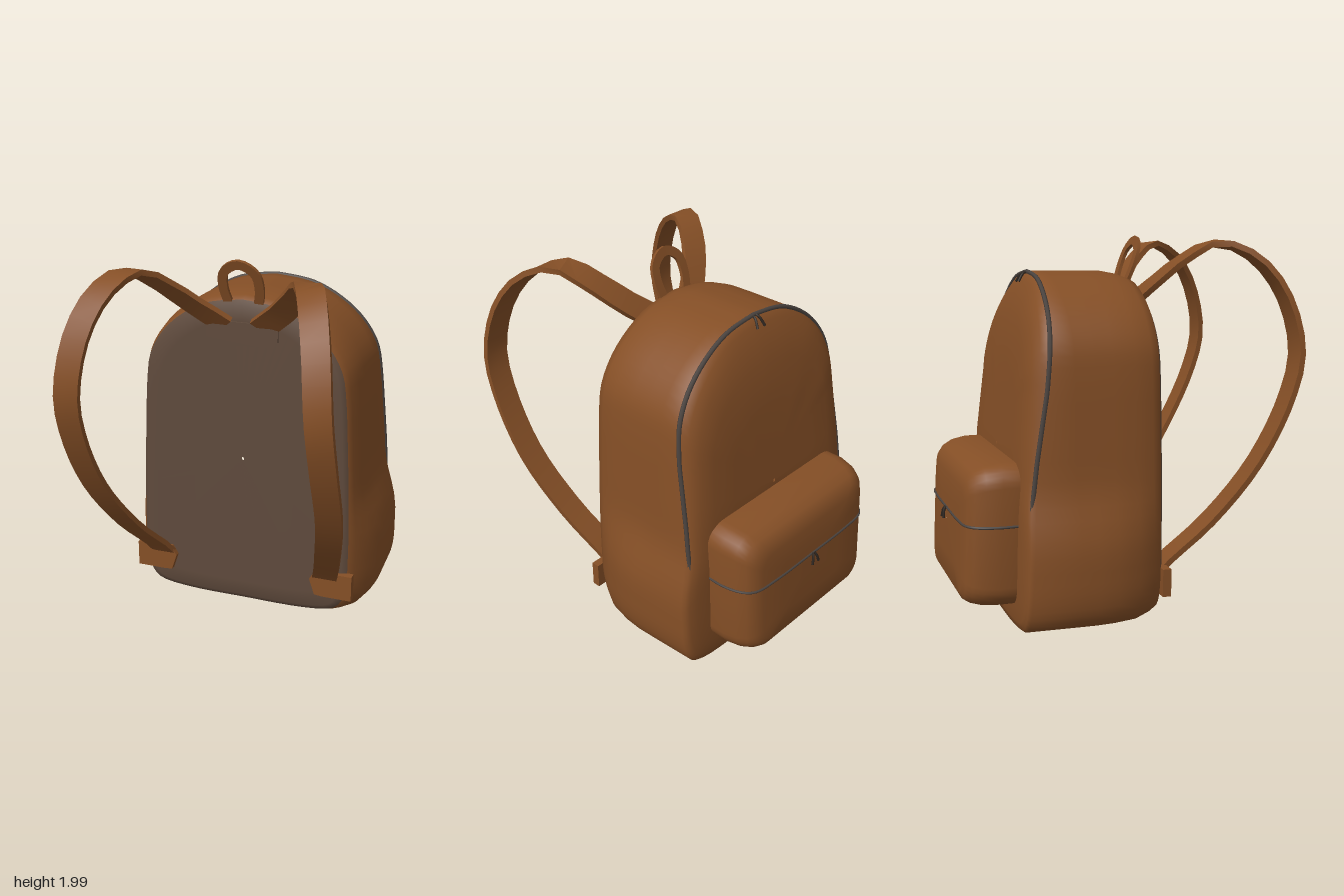
import * as THREE from 'three';
import { toCreasedNormals } from 'three/addons/utils/BufferGeometryUtils.js';

const V = (x, y, z) => new THREE.Vector3(x, y, z);
const flat = (name, color) => Object.assign(new THREE.MeshStandardMaterial({ color }), { name });

// Linear interpolation in a table of [key, value] pairs with rising keys
function table(t, k) {
  if (k <= t[0][0]) return t[0][1];
  for (let i = 1; i < t.length; i++) {
    if (k <= t[i][0]) {
      const [a, b] = [t[i - 1], t[i]];
      return a[1] + (b[1] - a[1]) * (k - a[0]) / (b[0] - a[0]);
    }
  }
  return t[t.length - 1][1];
}

// Skin a list of closed rings; pick(centre) chooses the material group
function loft(rings, crease, pick = () => 0) {
  const n = rings[0].length, pos = rings.flat(), lists = [];
  for (let i = 0; i < rings.length - 1; i++) {
    for (let j = 0; j < n; j++) {
      const a = i * n + j, b = i * n + (j + 1) % n, c = a + n, d = b + n;
      const mid = V(0, 0, 0).add(pos[a]).add(pos[b]).add(pos[c]).add(pos[d]).multiplyScalar(0.25);
      (lists[pick(mid)] ??= []).push(a, c, b, b, c, d);
    }
  }
  const g = new THREE.BufferGeometry().setFromPoints(pos);
  g.setIndex(lists.flat());
  let start = 0;
  lists.forEach((l, m) => { g.addGroup(start, l.length, m); start += l.length; });
  return toCreasedNormals(g, crease);
}

// Flat band along a path; across(tangent) gives its width direction
function band(points, width, thick, across, steps = 28) {
  const curve = new THREE.CatmullRomCurve3(points);
  const rings = [];
  const ring = (u, s) => {
    const p = curve.getPointAt(u), t = curve.getTangentAt(u);
    const w = across(t).normalize(), n = w.clone().cross(t);
    return [[1, -1], [1, 1], [-1, 1], [-1, -1]].map(([a, b]) => p.clone()
      .addScaledVector(w, a * s * width / 2).addScaledVector(n, b * s * thick / 2));
  };
  rings.push(ring(0, 0.01));
  for (let i = 0; i <= steps; i++) rings.push(ring(i / steps, 1));
  rings.push(ring(1, 0.01));
  return loft(rings, 0.7);
}

const tube = (pts, r, steps) =>
  new THREE.TubeGeometry(new THREE.CatmullRomCurve3(pts), steps, r, 6);

// Thin plate with a chamfered outline
function plate(pts, depth) {
  const s = new THREE.Shape(pts.map(p => new THREE.Vector2(...p)));
  return new THREE.ExtrudeGeometry(s, { depth, bevelEnabled: false });
}

// Body outline, bottom centre to top centre on the +x side
const half = new THREE.SplineCurve([
  [0, 0.008], [0.3, 0.008], [0.52, 0.03], [0.6, 0.09], [0.63, 0.2], [0.635, 0.35], [0.635, 0.6],
  [0.63, 0.8], [0.615, 1.1], [0.602, 1.3], [0.575, 1.46], [0.49, 1.6], [0.36, 1.71], [0.2, 1.785], [0, 1.812],
].map(p => new THREE.Vector2(...p))).getPoints(42);
const outline = [...half, ...half.slice(1, -1).reverse().map(p => new THREE.Vector2(-p.x, p.y))];

const rearEdge = y => table([[0, -0.595], [0.6, -0.56], [0.9, -0.52], [1.25, -0.46], [1.6, -0.42], [1.8, -0.4]], y);
const rearBulge = y => table([[0, 0.02], [0.6, 0.035], [0.9, 0.06], [1.3, 0.09], [1.6, 0.08], [1.8, 0.04]], y);
const sideBulge = y => 0.078 * (1 - THREE.MathUtils.smoothstep(y, 0.42, 0.8));

function bodyGeometry() {
  const ring = (inset, bulge, zOf, s = 1) => outline.map(p => {
    const x = (p.x * (1 - inset / 0.63) + Math.sign(p.x) * sideBulge(p.y) * bulge * Math.min(1, Math.abs(p.x) / 0.6)) * s;
    const y = 0.9 + (p.y - 0.9) * (1 - inset / 0.9) * s;
    return V(x, y, zOf(y));
  });
  const rings = [];
  // back panel, rounded edge and side wall
  for (const s of [0.01, 0.5, 0.9, 1]) rings.push(ring(0.06, 0, () => 0.15, s));
  for (const [inset, bulge, z] of [[0.035, 0.05, 0.135], [0.018, 0.2, 0.09], [0.002, 0.6, 0],
    [0, 0.9, -0.12], [0, 1, -0.22], [0, 0.95, -0.32]]) rings.push(ring(inset, bulge, () => z));
  rings.push(ring(0, 0.8, y => rearEdge(y) + 0.015));
  // domed far face
  for (const [s, k] of [[0.985, 0.15], [0.95, 0.5], [0.88, 0.8], [0.75, 1], [0.5, 1], [0.25, 1], [0.01, 1]])
    rings.push(ring(0, 0.8, y => rearEdge(y) - k * rearBulge(y), s));
  return loft(rings, 1.1, c => (c.z > 0.138 || (c.y < 0.035 && c.z > -0.57) ? 1 : 0));
}

function pocketGeometry() {
  const pts = [], hw = 0.525, hh = 0.365, r = 0.11;
  for (const [sx, sy, a0] of [[1, -1, -0.5], [1, 1, 0], [-1, 1, 0.5], [-1, -1, 1]]) {
    for (let i = 0; i <= 6; i++) {
      const a = (a0 + i / 12) * Math.PI;
      pts.push([sx * (hw - r) + r * Math.cos(a), sy * (hh - r) + r * Math.sin(a)]);
    }
  }
  const ring = (inset, z, s = 1) => pts.map(([x, y]) => {
    const px = x * (1 - inset / hw) * s, py = y * (1 - inset * (y < 0 ? 0.4 : 1) / hh) * s;
    return V(px, 0.505 + py, z + py * 0.045);
  });
  return loft([ring(0.01, -0.5), ring(0, -0.58), ring(0, -0.68), ring(0.015, -0.76), ring(0.04, -0.81),
    ring(0.075, -0.84), ring(0.13, -0.852), ring(0.13, -0.86, 0.6), ring(0.13, -0.86, 0.01)], 1.1);
}

export function createModel() {
  const model = new THREE.Group();
  model.name = 'backpack';
  const leather = flat('brown leather', 0x854f26);
  const lining = flat('dark panel fabric', 0x5f4a3c);
  const zip = flat('zip grey', 0x4b4440);
  const metal = flat('dark zip pull', 0x2e2620);
  const add = (name, geo, mat, parent = model) => {
    const m = new THREE.Mesh(geo, mat);
    m.name = name;
    parent.add(m);
    return m;
  };

  add('body', bodyGeometry(), [leather, lining]);
  add('outerPocket', pocketGeometry(), leather);

  // Main zip over the arch of the far edge
  const arch = outline.filter(p => p.y > 0.62)
    .map(p => V(p.x * 0.993, p.y - 0.003, rearEdge(p.y) - 0.002));
  add('mainZip', tube(arch, 0.012, 70), zip);

  // Pocket zip wrapping three sides
  const wrap = [[0.524, -0.57], [0.526, -0.68], [0.508, -0.765], [0.482, -0.812], [0.44, -0.842], [0.3, -0.856], [0, -0.858]];
  const zipPath = [...wrap, ...wrap.slice(0, -1).reverse().map(([x, z]) => [-x, z])].map(([x, z]) => V(x, 0.565, z));
  add('pocketZip', tube(zipPath, 0.007, 60), zip);

  // Paired zip pulls
  for (const s of [1, -1]) {
    add('mainZipPull', tube([V(s * 0.008, 1.81, -0.4), V(s * 0.015, 1.8, -0.425), V(s * 0.028, 1.755, -0.455)], 0.007, 6), metal);
    add('pocketZipPull', tube([V(s * 0.006, 0.57, -0.862), V(s * 0.014, 0.55, -0.874), V(s * 0.026, 0.51, -0.88)], 0.007, 6), metal);
  }

  // Shoulder straps and their lower anchors
  for (const s of [1, -1]) {
    const strap = new THREE.Group();
    strap.name = s > 0 ? 'leftStrap' : 'rightStrap';
    model.add(strap);
    const path = [[0.1, 1.635, 0.14], [0.24, 1.745, 0.22], [0.36, 1.865, 0.33], [0.46, 1.955, 0.48], [0.54, 1.89, 0.65],
      [0.605, 1.71, 0.79], [0.645, 1.42, 0.863], [0.655, 1.18, 0.81], [0.64, 0.84, 0.64], [0.57, 0.53, 0.41],
      [0.5, 0.32, 0.2], [0.48, 0.26, 0.155]].map(([x, y, z]) => V(s * x, y, z));
    add('strapBand', band(path, 0.135, 0.03, t => V(1, 0, 0).addScaledVector(t, -t.x)), leather, strap);
    const tab = [[-0.12, 0.02], [-0.09, -0.07], [-0.05, -0.075], [0.12, -0.075], [0.12, 0.07], [-0.09, 0.07]]
      .map(([x, y]) => [x * s, y]);
    if (s < 0) tab.reverse();
    const anchor = add('strapAnchor', plate(tab, 0.045), leather, strap);
    anchor.position.set(s * 0.52, 0.235, 0.135);
  }

  // Patch covering the upper strap ends
  const patch = add('strapPatch', plate([[-0.2, 1.57], [-0.13, 1.535], [0.13, 1.535], [0.2, 1.57],
    [0.2, 1.63], [0.1, 1.66], [-0.1, 1.66], [-0.2, 1.63]], 0.022), lining);
  patch.position.z = 0.14;

  // Carry handle, a flat loop leaning outwards
  const side = [[0.075, 1.7, 0.11], [0.085, 1.76, 0.13], [0.1, 1.84, 0.158], [0.085, 1.925, 0.188]];
  const loop = [...side.map(p => V(...p)), V(0, 1.972, 0.205),
    ...side.slice().reverse().map(([x, y, z]) => V(-x, y, z))];
  add('carryHandle', band(loop, 0.05, 0.018, t => V(0, -0.33, 0.94).cross(t), 24), leather);

  return model;
}
